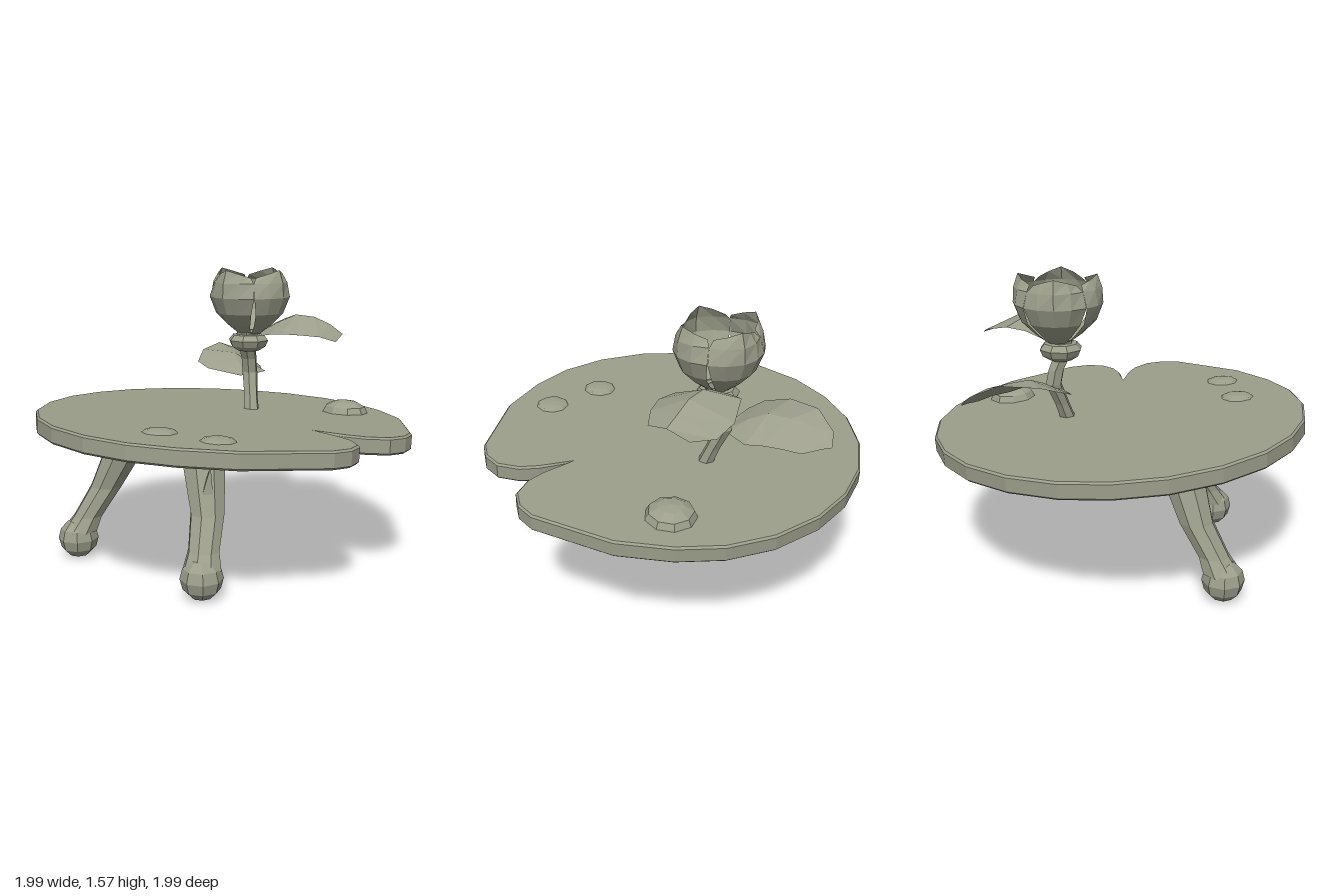
import * as THREE from 'three';

const sage = new THREE.MeshStandardMaterial({ color: 0x9c9e8b, flatShading: true, side: THREE.DoubleSide });
sage.name = 'sage';

function add(parent, name, geometry, x = 0, y = 0, z = 0) {
  const mesh = new THREE.Mesh(geometry, sage);
  mesh.name = name;
  mesh.position.set(x, y, z);
  parent.add(mesh);
  return mesh;
}

// Skin over rows of [x, y, z] cross-sections
function loft(rows, closed = false) {
  const n = rows[0].length, index = [];
  for (let i = 0; i < rows.length - 1; i++) {
    for (let j = 0; j < (closed ? n : n - 1); j++) {
      const k = (j + 1) % n, a = i * n, b = a + n;
      index.push(a + j, b + j, a + k, a + k, b + j, b + k);
    }
  }
  const g = new THREE.BufferGeometry();
  g.setAttribute('position', new THREE.Float32BufferAttribute(rows.flat(2), 3));
  g.setIndex(index);
  g.computeVertexNormals();
  return g;
}

// Horizontal rings [x, y, z, radius] joined into a tapering limb
function limb(rings, sides) {
  return loft(rings.map(([x, y, z, r]) => Array.from({ length: sides }, (_, i) => {
    const a = (i + 0.5) / sides * Math.PI * 2;
    return [x + r * Math.cos(a), y, z - r * Math.sin(a)];
  })), true);
}

function lilyPad() {
  const half = [[0, -1], [0.25, -0.97], [0.5, -0.865], [0.715, -0.7], [0.865, -0.5], [0.96, -0.27],
    [0.995, 0], [0.96, 0.25], [0.865, 0.47], [0.7, 0.7], [0.35, 0.965], [0.245, 0.99], [0.14, 0.965],
    [0.06, 0.875], [0.025, 0.78], [0, 0.61]];
  const mirrored = half.slice(1, -1).reverse().map(([x, z]) => [-x, z]);
  const shape = new THREE.Shape([...half, ...mirrored].map(([x, z]) => new THREE.Vector2(x, -z)));
  const g = new THREE.ExtrudeGeometry(shape, {
    depth: 0.07, bevelThickness: 0.01, bevelSize: 0.01, bevelOffset: -0.01, bevelSegments: 1,
  });
  return g.rotateX(-Math.PI / 2).translate(0, -0.035, 0);
}

export function createModel() {
  const model = new THREE.Group();
  model.name = 'lilyPadTable';

  // Tilted notched top
  const tilt = -0.06;
  const top = new THREE.Group();
  top.name = 'tableTop';
  top.position.y = 0.765;
  top.rotation.z = tilt;
  model.add(top);
  add(top, 'lilyPad', lilyPad());

  // Dew drops resting on the pad
  for (const [x, z, r, h] of [[-0.65, 0.16, 0.09, 0.022], [-0.59, 0.48, 0.09, 0.022], [0.64, 0.37, 0.13, 0.07]]) {
    const drop = add(top, 'dewDrop', new THREE.SphereGeometry(1, 9, 3, 0, Math.PI * 2, 0, Math.PI / 2), x, 0.044, z);
    drop.scale.set(r, h, r);
  }

  // Two splayed legs with round feet, mirrored about z = -0.13
  for (const s of [1, -1]) {
    const z = (d) => -0.13 + s * d;
    add(model, 'leg', limb([
      [-0.3, 0.765, z(0.24), 0.125], [-0.33, 0.62, z(0.29), 0.115], [-0.4, 0.4, z(0.375), 0.09],
      [-0.49, 0.24, z(0.43), 0.082], [-0.53, 0.16, z(0.455), 0.1]], 8));
    add(model, 'foot', new THREE.SphereGeometry(0.11, 8, 6), -0.54, 0.115, z(0.46));
  }
  const thorn = add(model, 'thorn', new THREE.ConeGeometry(0.04, 0.15, 4), -0.41, 0.575, 0.265);
  thorn.rotation.x = 0.15;

  // Bent stem and collar under the bloom
  add(model, 'stem', limb([
    [0.28, 0.77, -0.02, 0.045], [0.31, 0.87, -0.05, 0.04], [0.35, 0.99, -0.09, 0.045],
    [0.335, 1.07, -0.085, 0.045], [0.3, 1.15, -0.07, 0.05], [0.31, 1.23, -0.07, 0.07]], 6));
  add(model, 'collar', limb([
    [0.31, 1.12, -0.07, 0.06], [0.31, 1.145, -0.07, 0.1], [0.31, 1.18, -0.07, 0.115],
    [0.31, 1.21, -0.07, 0.09], [0.31, 1.215, -0.07, 0.05]], 8));

  // Four cupped petals: [height, ridge radius, edge radius, half angle, edge drop]
  const rows = [[0, 0.06, 0.06, 0.75, 0], [0.05, 0.13, 0.12, 0.7, 0], [0.12, 0.2, 0.19, 0.72, 0],
    [0.21, 0.235, 0.225, 0.78, 0], [0.29, 0.23, 0.2, 0.785, 0], [0.36, 0.205, 0.17, 0.7, 0.04]];
  const petal = loft(rows.map(([y, ridge, edge, half, drop]) => [-1, -0.5, 0, 0.5, 1].map((t) => {
    const r = ridge + (edge - ridge) * Math.abs(t), a = half * t;
    return [r * Math.cos(a), y - drop * Math.abs(t), r * Math.sin(a)];
  })));
  const bloom = new THREE.Group();
  bloom.name = 'bloom';
  bloom.position.set(0.32, 1.215, -0.07);
  model.add(bloom);
  for (let i = 0; i < 4; i++) add(bloom, 'petal', petal).rotation.y = i * Math.PI / 2;

  // Arched leaves: rows run left edge, spine, right edge
  add(model, 'lowerLeaf', loft([
    [[0.3, 0.97, -0.12], [0.34, 0.97, -0.11], [0.38, 0.97, -0.1]],
    [[0.235, 1.0, -0.31], [0.39, 1.03, -0.21], [0.52, 0.97, -0.11]],
    [[0.25, 1.03, -0.4], [0.45, 1.07, -0.29], [0.57, 0.97, -0.18]],
    [[0.38, 1.08, -0.475], [0.55, 1.07, -0.36], [0.65, 0.97, -0.25]],
    [[0.57, 1.1, -0.51], [0.65, 1.06, -0.42], [0.715, 0.96, -0.315]],
    [[0.72, 1.04, -0.5], [0.74, 1.02, -0.47], [0.755, 0.98, -0.42]],
    [[0.77, 0.99, -0.46], [0.77, 0.99, -0.46], [0.77, 0.98, -0.45]],
  ]));
  add(model, 'upperLeaf', loft([
    [[0.33, 1.2, -0.03], [0.37, 1.21, -0.04], [0.4, 1.22, -0.05]],
    [[0.32, 1.22, 0.08], [0.44, 1.28, 0.05], [0.5, 1.26, -0.03]],
    [[0.305, 1.23, 0.17], [0.5, 1.32, 0.12], [0.6, 1.28, -0.03]],
    [[0.33, 1.23, 0.27], [0.54, 1.31, 0.22], [0.73, 1.24, 0.085]],
    [[0.4, 1.22, 0.35], [0.58, 1.27, 0.3], [0.765, 1.2, 0.2]],
    [[0.48, 1.19, 0.405], [0.6, 1.22, 0.37], [0.73, 1.2, 0.32]],
  ]));

  return model;
}
